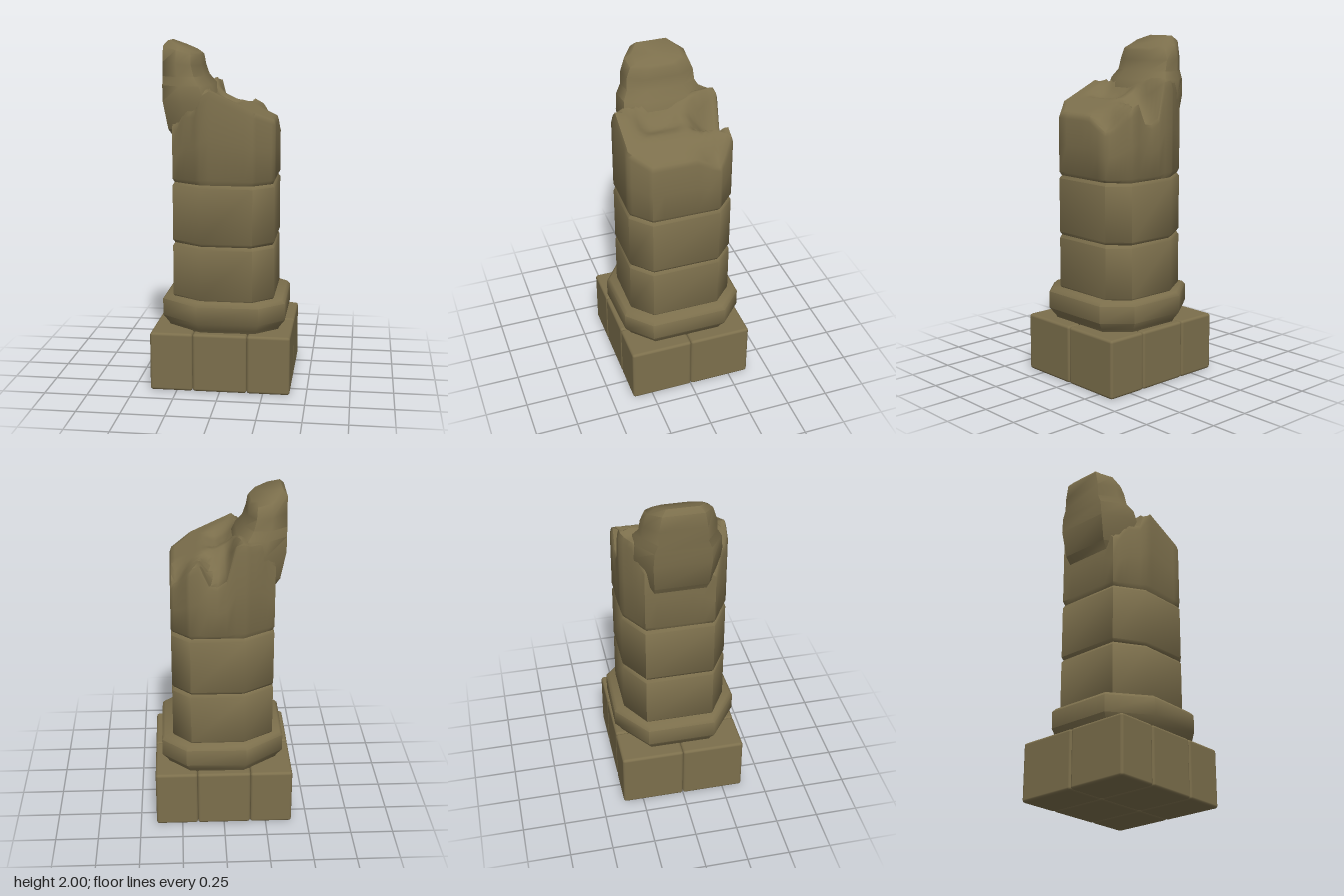
import * as THREE from 'three';
import { toCreasedNormals } from 'three/addons/utils/BufferGeometryUtils.js';
import { RoundedBoxGeometry } from 'three/addons/geometries/RoundedBoxGeometry.js';

const stone = new THREE.MeshStandardMaterial({ color: 0x7c6f4c });
stone.name = 'weathered stone';

// Plan outlines as [x, z] corners
const shaftPlan = [[0.297, -0.2], [0.297, 0.2], [0.18, 0.307], [-0.12, 0.305],
  [-0.292, 0.2], [-0.292, -0.2], [-0.12, -0.307], [0.19, -0.307]];
const collarPlan = [[0.363, -0.225], [0.363, 0.225], [0.22, 0.357], [-0.13, 0.367],
  [-0.355, 0.2], [-0.355, -0.2], [-0.13, -0.367], [0.22, -0.36]];

// Closed solid skinned through loops of [x, y, z] points, bottom to top
function loft(name, rings, crease = 0.95) {
  const n = rings[0].length;
  const points = rings.flat();
  const index = [];
  for (let j = 0; j < rings.length - 1; j++) {
    for (let i = 0; i < n; i++) {
      const a = j * n + i, b = j * n + (i + 1) % n;
      index.push(a, a + n, b, b, a + n, b + n);
    }
  }
  const cap = (ring, start, up) => {
    const mid = [0, 1, 2].map(k => ring.reduce((s, p) => s + p[k], 0) / n);
    const c = points.push(mid) - 1;
    for (let i = 0; i < n; i++) {
      const a = start + i, b = start + (i + 1) % n;
      index.push(c, up ? b : a, up ? a : b);
    }
  };
  cap(rings[0], 0, false);
  cap(rings[rings.length - 1], (rings.length - 1) * n, true);
  const geometry = new THREE.BufferGeometry();
  geometry.setAttribute('position', new THREE.Float32BufferAttribute(points.flat(), 3));
  geometry.setIndex(index);
  const mesh = new THREE.Mesh(toCreasedNormals(geometry, crease), stone);
  mesh.name = name;
  return mesh;
}

// Straight course: profile is a list of [y, scale]
const course = (name, plan, profile) =>
  loft(name, profile.map(([y, s]) => plan.map(([x, z]) => [x * s, y, z * s])));

// Broken surface of the top drum: a slope to +x with breaks and lumps
const step = (a, b, v) => THREE.MathUtils.smoothstep(v, a, b);
const band = (a, b, v, soft = 0.035) => step(a - soft, a + soft, v) * (1 - step(b - soft, b + soft, v));
function brokenHeight(x, z) {
  let y = Math.min(1.70 - 0.47 * x, 1.74);
  y -= 0.17 * band(-0.04, 0.1, x) * (1 - step(-0.27, -0.04, z));       // rear notch
  y -= 0.08 * step(0.17, 0.27, x) * (1 - step(-0.2, -0.05, z));        // rear corner loss
  y -= 0.13 * band(-0.3, -0.12, x) * step(0.08, 0.22, z);              // front pit
  y += 0.03 * band(-0.12, -0.05, x) * (1 - step(-0.2, -0.08, z));      // rear lump
  y -= 0.05 * band(-0.06, 0.07, x, 0.05) * band(-0.05, 0.18, z, 0.05); // central hollow
  y -= 0.12 * (1 - step(-0.29, -0.2, x));                              // edge beside the spur
  return y;
}

function brokenDrum() {
  const outline = [];
  shaftPlan.forEach(([x, z], i) => {
    const [u, v] = shaftPlan[(i + 1) % shaftPlan.length];
    for (let k = 0; k < 6; k++) outline.push([x + (u - x) * k / 6, z + (v - z) * k / 6]);
  });
  const wall = [[0.96, 0], [1, 0.06], [1, 0.5], [1, 0.93]]
    .map(([s, t]) => outline.map(([x, z]) => [x * s, 1.2 + (brokenHeight(x, z) - 1.2) * t, z * s]));
  const top = [0.97, 0.9, 0.8, 0.7, 0.6, 0.5, 0.4, 0.3, 0.2, 0.1]
    .map(s => outline.map(([x, z]) => [x * s, brokenHeight(x * s, z * s), z * s]));
  return loft('brokenTopDrum', [...wall, ...top]);
}

// Leaning spur: rows of [y, left x, right x, half depth, fall toward +x]
function spur() {
  const rows = [[1.3, -0.27, 0, 0.19, 0], [1.45, -0.289, 0, 0.22, 0], [1.5, -0.322, -0.01, 0.23, 0],
    [1.66, -0.352, -0.04, 0.245, 0], [1.75, -0.354, -0.08, 0.235, 0], [1.8, -0.355, -0.12, 0.205, 0],
    [1.88, -0.355, -0.14, 0.2, 0.02], [1.97, -0.355, -0.148, 0.175, 0.055], [2.0, -0.33, -0.16, 0.135, 0.07]];
  return loft('brokenSpur', rows.map(([y, x0, x1, d, fall]) =>
    [[1, -0.55], [1, 0.45], [0.8, 0.95], [0.4, 1], [0, 0.66], [0, -0.66], [0.4, -1], [0.8, -1]]
      .map(([t, s]) => [x0 + (x1 - x0) * t, y - fall * t, d * s])));
}

export function createModel() {
  const model = new THREE.Group();
  model.name = 'brokenColumn';

  // Plinth of six blocks
  const plinth = new THREE.Group();
  plinth.name = 'plinth';
  for (const [x, w] of [[-0.281, 0.248], [0, 0.314], [0.281, 0.248]]) {
    for (const side of [-1, 1]) {
      const block = new THREE.Mesh(new RoundedBoxGeometry(w, 0.345, 0.37, 2, 0.016), stone);
      block.name = 'plinthBlock';
      block.position.set(x, 0.1725, side * 0.185);
      plinth.add(block);
    }
  }
  model.add(plinth);

  // Collar and shaft drums
  model.add(course('collar', collarPlan, [[0.335, 0.88], [0.36, 0.91], [0.405, 1], [0.505, 1], [0.525, 0.95]]));
  for (const [y0, y1] of [[0.515, 0.845], [0.845, 1.2]]) {
    model.add(course('shaftDrum', shaftPlan, [[y0, 0.96], [y0 + 0.018, 1], [y1 - 0.018, 1], [y1, 0.96]]));
  }
  model.add(brokenDrum(), spur());
  return model;
}
